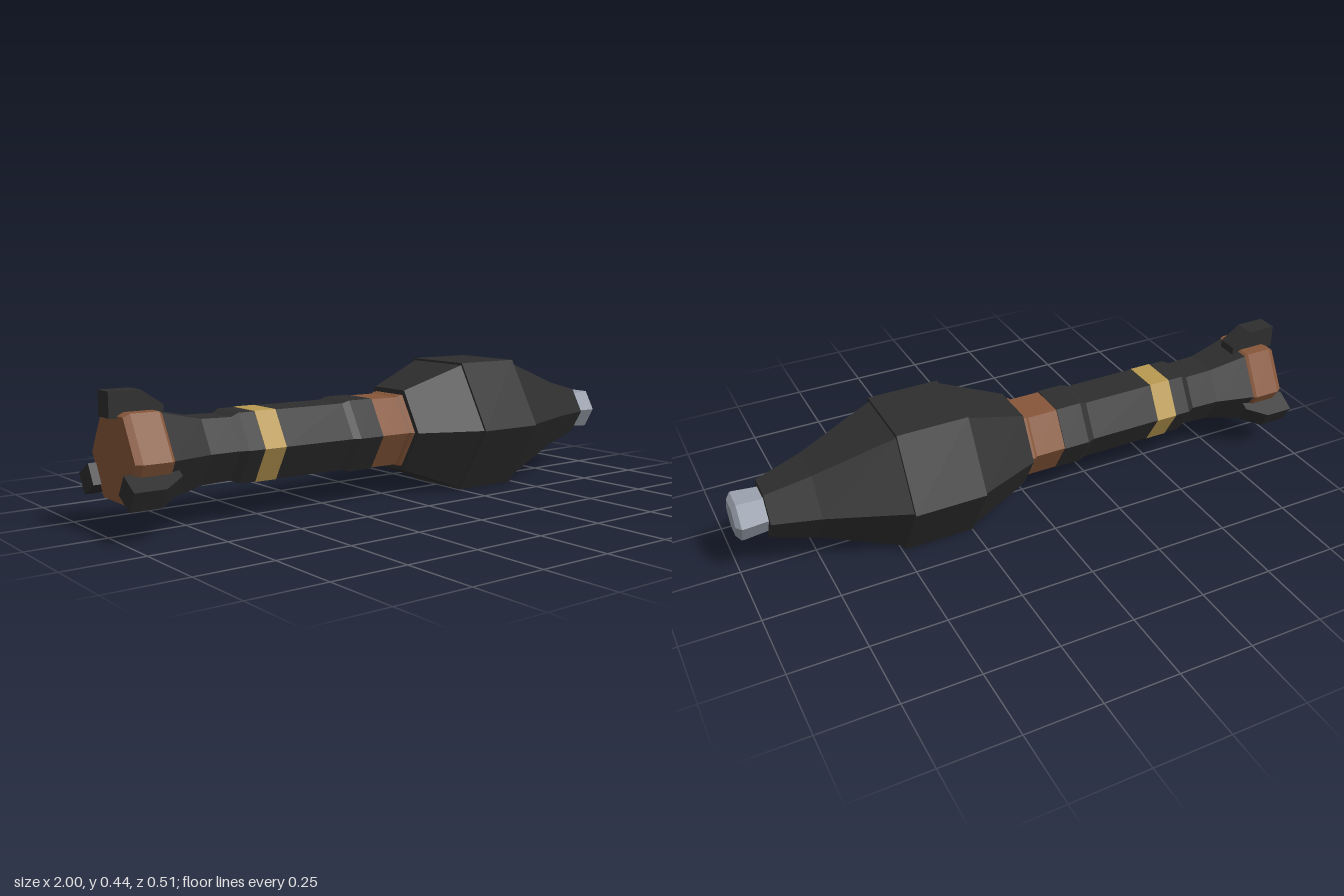
import * as THREE from 'three';

const HEX = 1 / Math.cos(Math.PI / 6); // flat-to-centre distance -> corner radius

const paint = (color) => new THREE.MeshStandardMaterial({ color, flatShading: true });

// Six-sided solid along x; profile holds [x, flat-to-centre distance]
function hexPart(name, material, profile) {
  const pts = profile.map(([x, a]) => new THREE.Vector2(a * HEX, x));
  pts.unshift(new THREE.Vector2(0, profile[0][0]));
  pts.push(new THREE.Vector2(0, profile[profile.length - 1][0]));
  const geo = new THREE.LatheGeometry(pts, 6);
  geo.rotateZ(-Math.PI / 2);
  const mesh = new THREE.Mesh(geo, material);
  mesh.name = name;
  return mesh;
}

export function createModel() {
  const dark = paint(0x2e2e2e);
  const brown = paint(0x87573a);
  const gold = paint(0xba9a52);
  const steel = paint(0x9aa1ad);

  const body = new THREE.Group();
  body.name = 'rocketBody';

  body.add(
    // Nozzle and motor tube
    hexPart('tailNozzle', brown, [[-0.975, 0.126], [-0.955, 0.136], [-0.865, 0.136], [-0.855, 0.13]]),
    hexPart('tailCone', dark, [[-0.858, 0.13], [-0.72, 0.1], [-0.62, 0.097], [-0.595, 0.109], [-0.535, 0.109]]),
    hexPart('goldBand', gold, [[-0.54, 0.1105], [-0.465, 0.1105]]),
    hexPart('motorTube', dark, [[-0.47, 0.109], [-0.21, 0.109], [-0.185, 0.117], [-0.095, 0.117]]),
    hexPart('collar', brown, [[-0.096, 0.114], [0.01, 0.114], [0.02, 0.12], [0.037, 0.12]]),
    // Warhead with a raised middle band
    hexPart('warheadRear', dark, [[0.035, 0.136], [0.252, 0.214]]),
    hexPart('warheadBand', dark, [[0.25, 0.2205], [0.49, 0.2205]]),
    hexPart('warheadNose', dark, [[0.488, 0.21], [0.75, 0.119], [0.9, 0.081]]),
    // Fuse tip
    hexPart('fuseTip', steel, [[0.89, 0.061], [0.975, 0.0675], [0.985, 0.0675], [1, 0.05]])
  );

  // Three tail fins
  const outline = [[-1, 0.12], [-0.83, 0.11], [-0.83, 0.15], [-0.9, 0.197], [-1, 0.197]];
  const finShape = new THREE.Shape(outline.map(([x, y]) => new THREE.Vector2(x, y)));
  const finGeo = new THREE.ExtrudeGeometry(finShape, { depth: 0.07, bevelEnabled: false });
  finGeo.translate(0, 0, -0.035);
  for (let i = 0; i < 3; i++) {
    const fin = new THREE.Mesh(finGeo, dark);
    fin.name = 'tailFin' + (i + 1);
    fin.rotation.x = (i * Math.PI * 2) / 3;
    body.add(fin);
  }

  // The round lies almost level, tail a touch high
  body.position.set(0, 0.2245, -0.002);
  body.rotation.set(0, -0.002, -0.0065);

  const model = new THREE.Group();
  model.name = 'rocketRound';
  model.add(body);
  return model;
}
